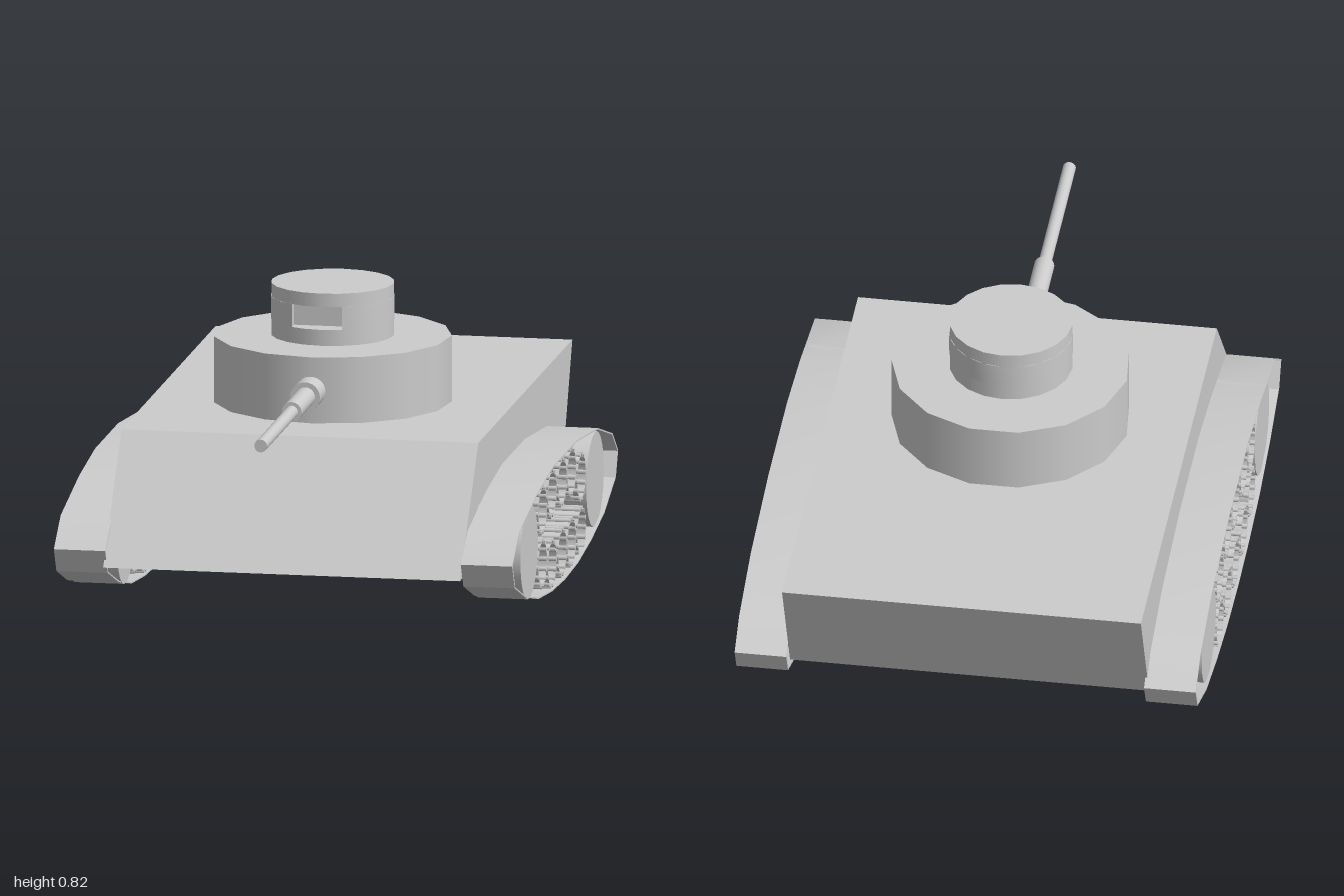
import * as THREE from 'three';
import { toCreasedNormals } from 'three/addons/utils/BufferGeometryUtils.js';

const material = new THREE.MeshStandardMaterial({ color: 0xcccccc, side: THREE.DoubleSide });

function add(parent, name, geometry, x = 0, y = 0, z = 0) {
  const mesh = new THREE.Mesh(geometry, material);
  mesh.name = name;
  mesh.position.set(x, y, z);
  parent.add(mesh);
  return mesh;
}

const toShape = (points) => new THREE.Shape(points.map(([z, y]) => new THREE.Vector2(z, y)));

// Side profile given as (z, y), extruded across the width and centred on x = 0
function sideExtrude(shape, width) {
  const g = new THREE.ExtrudeGeometry(shape, { depth: width, bevelEnabled: false });
  g.translate(0, 0, -width / 2).rotateY(-Math.PI / 2);
  return toCreasedNormals(g, 0.7);
}

// Cylinder lying along x
const axle = (r, width, sides, open = false) =>
  new THREE.CylinderGeometry(r, r, width, sides, 1, open).rotateZ(Math.PI / 2);

// Cupola band with the vision slot cut into its front
function slottedBand(r, height) {
  const left = -0.088, right = 0.057, back = -0.115;
  const shape = new THREE.Shape();
  shape.absarc(0, 0, r, -Math.acos(right / r), 2 * Math.PI - Math.acos(left / r), false);
  shape.lineTo(left, back);
  shape.lineTo(right, back);
  const g = new THREE.ExtrudeGeometry(shape, { depth: height, bevelEnabled: false, curveSegments: 20 });
  return toCreasedNormals(g.rotateX(-Math.PI / 2), 0.7);
}

const TRACK = [
  [0.705, 0.205], [0.665, 0.135], [0.5, 0.075], [0.3, 0.03], [0.1, 0.01], [-0.1, 0.003],
  [-0.3, 0.01], [-0.5, 0.033], [-0.7, 0.07], [-0.87, 0.135], [-0.905, 0.205], [-0.82, 0.27],
  [-0.6, 0.33], [-0.27, 0.362], [0.08, 0.362], [0.32, 0.335], [0.6, 0.28],
];

// Rollers as (z, y)
const ROLLERS = [
  [0.2, 0.262], [0.055, 0.28], [-0.1, 0.28], [-0.24, 0.28], [-0.39, 0.235],
  [0.2, 0.11], [0.055, 0.08], [-0.1, 0.08], [-0.24, 0.08], [-0.39, 0.08],
];

function createRunningGear(side) {
  const gear = new THREE.Group();
  gear.name = side > 0 ? 'leftRunningGear' : 'rightRunningGear';
  gear.position.x = side * 0.575;

  // Thin track loop
  const band = toShape(TRACK);
  const inner = TRACK.map(([z, y]) => [-0.1 + (z + 0.1) * 0.988, 0.183 + (y - 0.183) * 0.98]);
  band.holes.push(toShape(inner));
  add(gear, 'track', sideExtrude(band, 0.145));

  // Large end wheels
  for (const z of [0.4, -0.6]) add(gear, 'endWheel', axle(0.133, 0.138, 32), -side * 0.005, 0.185, z);

  // Open rollers ringed with small rods
  for (const [z, y] of ROLLERS) {
    const roller = new THREE.Group();
    roller.name = 'roller';
    roller.position.set(0, y, z);
    add(roller, 'rollerRing', axle(0.064, 0.13, 24, true));
    for (let i = 0; i < 14; i++) {
      const a = (i / 14) * Math.PI * 2;
      add(roller, 'rollerRod', axle(0.007, 0.13, 8), 0, 0.065 * Math.sin(a), 0.065 * Math.cos(a));
    }
    gear.add(roller);
  }
  return gear;
}

export function createModel() {
  const model = new THREE.Group();
  model.name = 'tank';

  // Hull with sloped nose and overhanging tail
  const hull = toShape([[0.705, 0.158], [0.425, 0.493], [-1, 0.493], [-0.85, 0.158]]);
  add(model, 'hull', sideExtrude(hull, 1.008), -0.004);

  for (const side of [1, -1]) model.add(createRunningGear(side));

  // Turret
  const turret = new THREE.Group();
  turret.name = 'turret';
  turret.position.set(-0.006, 0, -0.083);
  model.add(turret);
  add(turret, 'turretBody', new THREE.CylinderGeometry(0.332, 0.332, 0.187, 15), 0, 0.5865, 0);

  // Cupola: solid base, slotted middle, solid cap
  const r = 0.172;
  add(turret, 'cupolaBase', new THREE.CylinderGeometry(r, r, 0.046, 20), 0, 0.702, 0);
  add(turret, 'cupolaSlotBand', slottedBand(r, 0.065), 0, 0.725, 0);
  add(turret, 'cupolaCap', new THREE.CylinderGeometry(r, r, 0.038, 20), 0, 0.809, 0);

  // Stepped gun barrel as (name, radius, start z, end z)
  for (const [name, radius, z0, z1] of [
    ['gunCollar', 0.042, 0.2, 0.325],
    ['gunSleeve', 0.028, 0.3, 0.53],
    ['gunBarrel', 0.018, 0.5, 1],
  ]) {
    const g = new THREE.CylinderGeometry(radius, radius, z1 - z0, 24).rotateX(Math.PI / 2);
    add(model, name, g, -0.008, 0.583, (z0 + z1) / 2);
  }
  return model;
}
